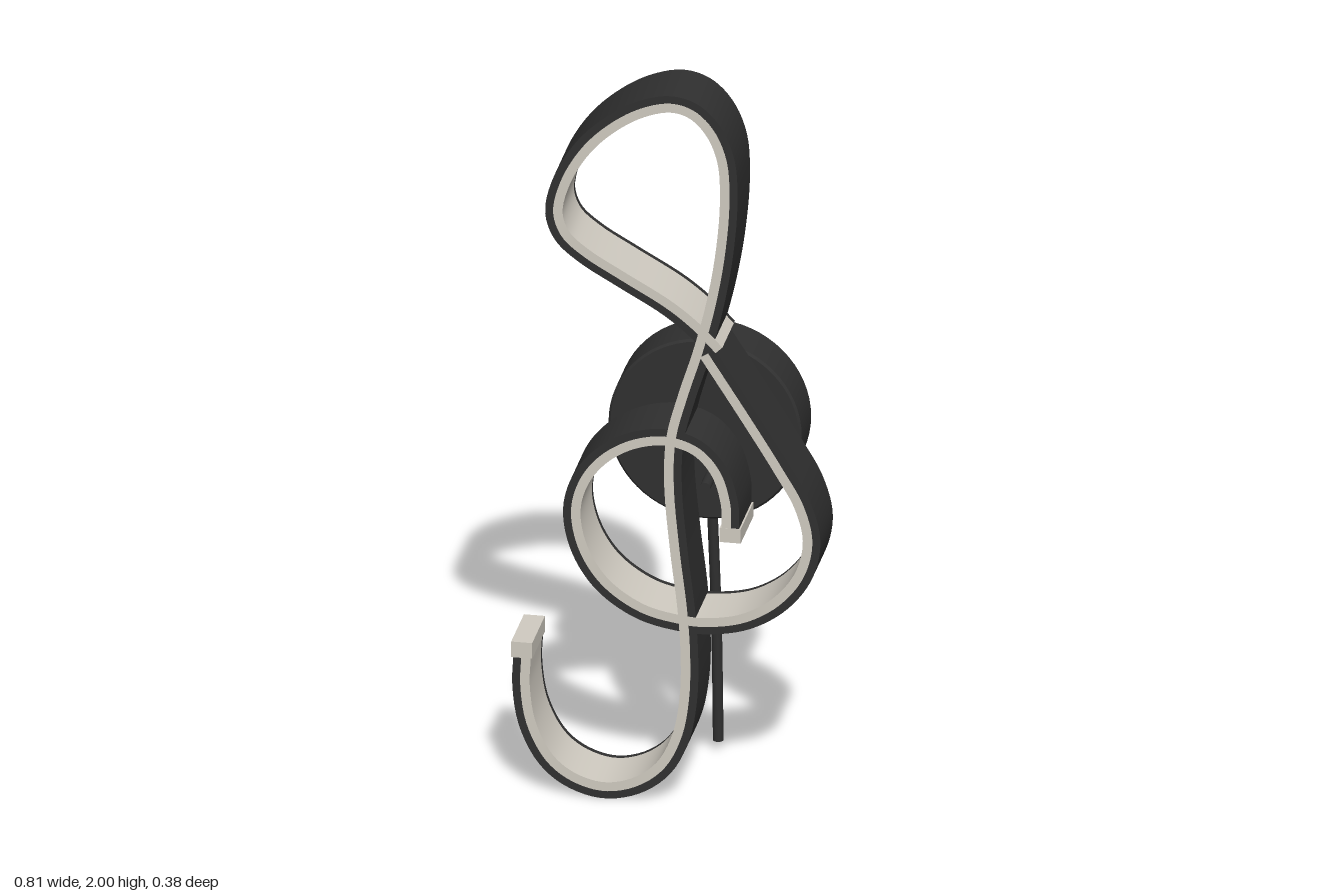
import * as THREE from 'three';

const black = new THREE.MeshStandardMaterial({ name: 'matte black', color: 0x303030 });
const cream = new THREE.MeshStandardMaterial({ name: 'cream diffuser', color: 0xd0cbc1 });

// Centre lines of the two bent channels; the lit side is on the left of travel
const tallPath = [
  [-0.38, 0.39], [-0.383, 0.3], [-0.365, 0.19], [-0.315, 0.095], [-0.25, 0.045], [-0.165, 0.024],
  [-0.08, 0.045], [-0.01, 0.1], [0.035, 0.19], [0.055, 0.3], [0.058, 0.42], [0.05, 0.55],
  [0.03, 0.72], [0.015, 0.9], [0.02, 1.03], [0.05, 1.15], [0.09, 1.28], [0.125, 1.42],
  [0.15, 1.57], [0.161, 1.72], [0.153, 1.83], [0.12, 1.91], [0.07, 1.96], [0.01, 1.976],
  [-0.07, 1.955], [-0.15, 1.905], [-0.22, 1.835], [-0.275, 1.74], [-0.297, 1.645],
  [-0.275, 1.58], [-0.22, 1.53], [-0.12, 1.47], [0, 1.4], [0.07, 1.345], [0.128, 1.285],
];
const spiralPath = [
  [0.165, 0.785], [0.163, 0.86], [0.135, 0.95], [0.08, 1.01], [0, 1.034], [-0.09, 1.018],
  [-0.17, 0.97], [-0.225, 0.9], [-0.25, 0.81], [-0.23, 0.7], [-0.17, 0.605], [-0.07, 0.537],
  [0.04, 0.512], [0.1, 0.51], [0.2, 0.53], [0.29, 0.585], [0.355, 0.67], [0.378, 0.77],
  [0.355, 0.87], [0.3, 0.97], [0.22, 1.1], [0.15, 1.21], [0.105, 1.28],
];

// Sweeps a rectangle (offsets n0..n1 across, z0..z1 deep) along a flat path
function sweep(path, n0, n1, z0, z1) {
  const curve = new THREE.CatmullRomCurve3(path.map(([x, y]) => new THREE.Vector3(x, y, 0)));
  const steps = 160;
  const corners = [[n0, z0], [n1, z0], [n1, z1], [n0, z1]];
  const pos = [], index = [];
  const rings = [];
  for (let i = 0; i <= steps; i++) {
    const p = curve.getPoint(i / steps), t = curve.getTangent(i / steps);
    rings.push(corners.map(([n, z]) => [p.x - t.y * n, p.y + t.x * n, z]));
  }
  // four sides, each smooth along its length with sharp edges between them
  for (let s = 0; s < 4; s++) {
    const base = pos.length / 3;
    rings.forEach((r) => pos.push(...r[s], ...r[(s + 1) % 4]));
    for (let i = 0; i < steps; i++) {
      const a = base + i * 2;
      index.push(a, a + 1, a + 3, a, a + 3, a + 2);
    }
  }
  // end faces
  for (const ring of [[...rings[0]].reverse(), rings[steps]]) {
    const b = pos.length / 3;
    ring.forEach((c) => pos.push(...c));
    index.push(b, b + 1, b + 2, b, b + 2, b + 3);
  }
  const geo = new THREE.BufferGeometry();
  geo.setAttribute('position', new THREE.Float32BufferAttribute(pos, 3));
  geo.setIndex(index);
  geo.computeVertexNormals();
  return geo;
}

function add(parent, name, geometry, material, x = 0, y = 0, z = 0) {
  const mesh = new THREE.Mesh(geometry, material);
  mesh.name = name;
  mesh.position.set(x, y, z);
  parent.add(mesh);
  return mesh;
}

// Black outer wall and back lip holding a cream light strip
function channel(name, path) {
  const group = new THREE.Group();
  group.name = name;
  add(group, 'outerWall', sweep(path, -0.023, -0.002, 0.02, 0.189), black);
  add(group, 'backLip', sweep(path, -0.002, 0.023, 0.02, 0.035), black);
  add(group, 'lightStrip', sweep(path, -0.002, 0.023, 0.035, 0.19), cream);
  return group;
}

export function createModel() {
  const model = new THREE.Group();
  model.name = 'curledWallLamp';
  model.add(channel('tallChannel', tallPath), channel('spiralChannel', spiralPath));

  // Cream caps on the free ends
  add(model, 'tailCap', new THREE.BoxGeometry(0.055, 0.044, 0.173), cream, -0.381, 0.402, 0.1045);
  add(model, 'spiralCap', new THREE.BoxGeometry(0.055, 0.04, 0.173), cream, 0.165, 0.772, 0.1045);

  // Round wall mount with softened rims
  const r = 0.253, h = 0.07, b = 0.006;
  const rim = [[0, -h], [r - b, -h], [r - b, -h], [r, -h + b], [r, -h + b], [r, h - b], [r, h - b],
    [r - b, h], [r - b, h], [0, h]].map(([x, y]) => new THREE.Vector2(x, y));
  add(model, 'wallMount', new THREE.LatheGeometry(rim, 64), black, 0.052, 0.955, -0.12).rotation.x = Math.PI / 2;

  // Stand-off pins between mount and channels
  for (const [x, y] of [[0.025, 1.015], [0.067, 0.825]]) {
    add(model, 'standoffPin', new THREE.CylinderGeometry(0.014, 0.014, 0.09, 20), black, x, y, -0.02)
      .rotation.x = Math.PI / 2;
  }

  // Small screw on the mount's rim
  const screw = add(model, 'rimScrew', new THREE.CylinderGeometry(0.012, 0.012, 0.02, 16), black, -0.168, 0.832, -0.12);
  screw.rotation.z = Math.atan2(-0.123, -0.22) - Math.PI / 2;

  // Hanging cord
  const cord = new THREE.CatmullRomCurve3([[0.055, 0.74, -0.128], [0.058, 0.6, -0.14], [0.062, 0.4, -0.154],
    [0.064, 0.2, -0.162], [0.065, 0.03, -0.166]].map((p) => new THREE.Vector3(...p)));
  add(model, 'cord', new THREE.TubeGeometry(cord, 32, 0.014, 14), black);
  add(model, 'cordEnd', new THREE.CylinderGeometry(0.014, 0.014, 0.004, 14), black, 0.065, 0.03, -0.166);

  return model;
}
